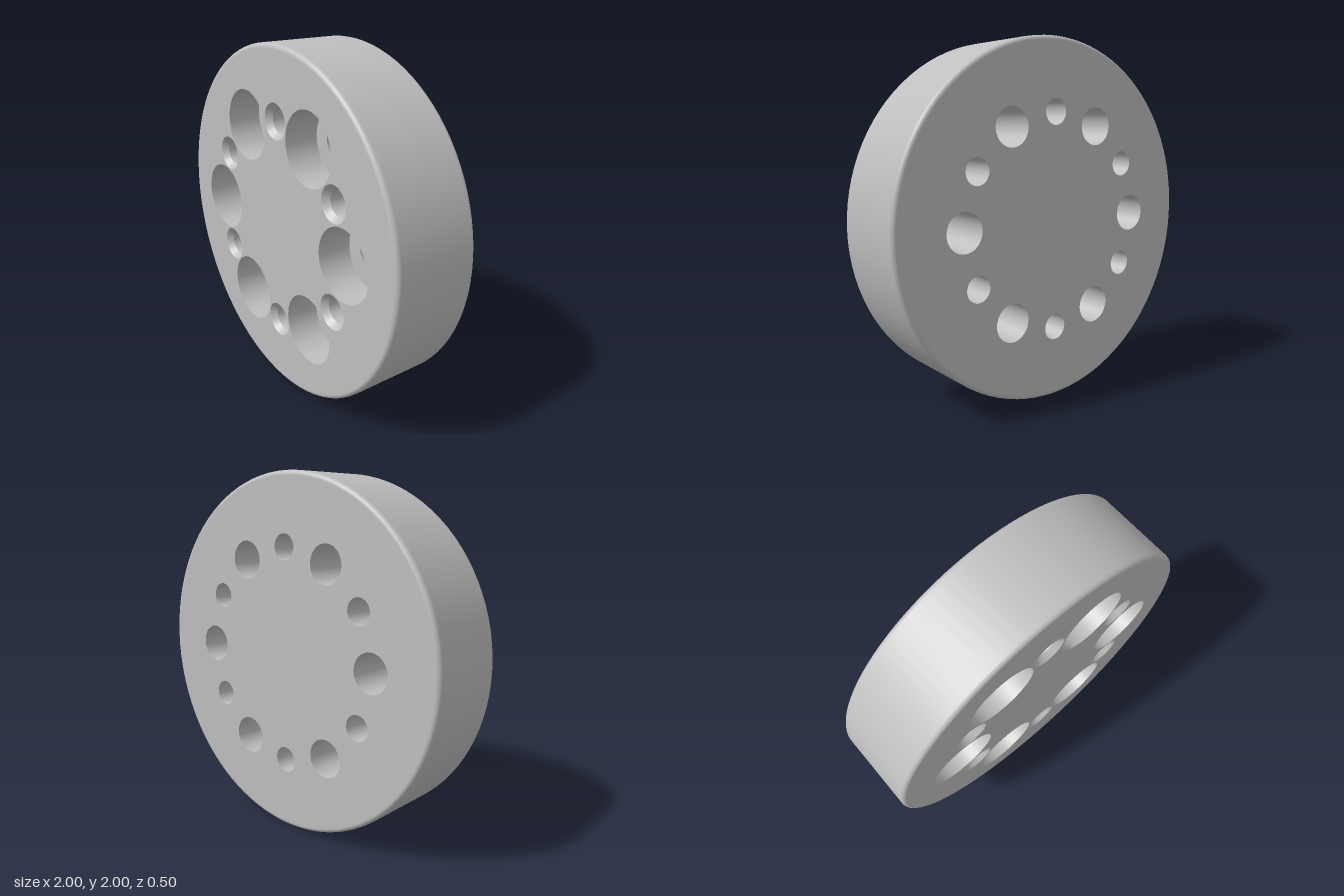
import * as THREE from 'three';

const R = 1, H = 0.25, FILLET = 0.025;   // disc radius, half thickness, edge rounding
const PITCH = 0.6;                       // bolt circle radius
const BORE = 0.2, BOLT = 0.107, BORE_FLOOR = 0.05;
const SINK = 0.1, PIN = 0.072, SINK_FLOOR = 0.215;
const SEGMENTS = 96;

export function createModel() {
  const steel = new THREE.MeshStandardMaterial({ color: 0xbfbfbf });
  steel.name = 'steel grey';

  const model = new THREE.Group();
  model.name = 'boltDisc';

  // Surface of revolution about z from [radius, z] points
  const turned = (name, points, parent) => {
    const geometry = new THREE.LatheGeometry(points.map(([r, z]) => new THREE.Vector2(r, z)), SEGMENTS);
    geometry.rotateX(Math.PI / 2);
    const mesh = new THREE.Mesh(geometry, steel);
    mesh.name = name;
    parent.add(mesh);
  };

  // Twelve hole positions, large and small alternating
  const holes = Array.from({ length: 12 }, (_, i) => {
    const a = i * Math.PI / 6;
    return { x: PITCH * Math.cos(a), y: PITCH * Math.sin(a), large: i % 2 === 0 };
  });

  // Flat face pierced by the holes
  const face = (name, largeRadius, smallRadius) => {
    const shape = new THREE.Shape().absarc(0, 0, R - FILLET, 0, Math.PI * 2);
    for (const { x, y, large } of holes) {
      shape.holes.push(new THREE.Path().absarc(x, y, large ? largeRadius : smallRadius, 0, Math.PI * 2, true));
    }
    const mesh = new THREE.Mesh(new THREE.ShapeGeometry(shape, SEGMENTS / 2), steel);
    mesh.name = name;
    model.add(mesh);
    return mesh;
  };
  face('frontFace', BORE, SINK).position.z = H;
  const back = face('backFace', BOLT, PIN);
  back.rotation.y = Math.PI;
  back.position.z = -H;

  // Outer wall with rounded edges
  const fillet = (start, z) => Array.from({ length: 9 }, (_, i) => {
    const a = start + i * Math.PI / 16;
    return [R - FILLET + FILLET * Math.cos(a), z + FILLET * Math.sin(a)];
  });
  turned('outerWall', [[R, -H + FILLET], [R, H - FILLET]], model);
  turned('frontRoundedEdge', fillet(0, H - FILLET), model);
  turned('backRoundedEdge', fillet(-Math.PI / 2, -H + FILLET), model);

  // Counterbored bolt holes and countersunk pin holes
  for (const { x, y, large } of holes) {
    const hole = new THREE.Group();
    hole.name = large ? 'boltHole' : 'pinHole';
    hole.position.set(x, y, 0);
    if (large) {
      turned('counterboreWall', [[BORE, H], [BORE, BORE_FLOOR]], hole);
      turned('counterboreFloor', [[BORE, BORE_FLOOR], [BOLT, BORE_FLOOR]], hole);
      turned('boltHoleWall', [[BOLT, BORE_FLOOR], [BOLT, -H]], hole);
    } else {
      turned('countersink', [[SINK, H], [PIN, SINK_FLOOR]], hole);
      turned('pinHoleWall', [[PIN, SINK_FLOOR], [PIN, -H]], hole);
    }
    model.add(hole);
  }

  model.position.y = R;
  const root = new THREE.Group();
  root.name = 'model';
  root.add(model);
  return root;
}
